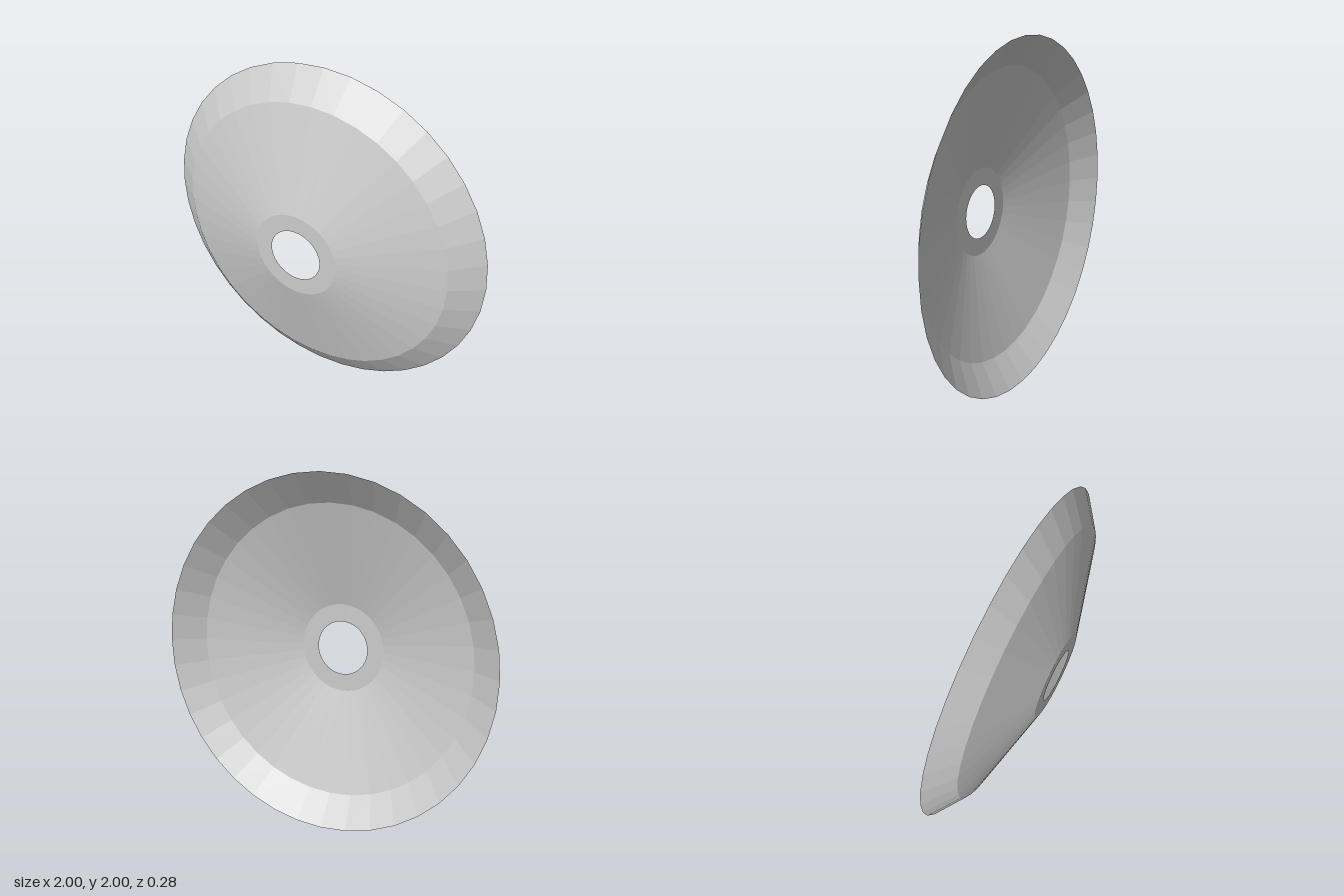
import * as THREE from 'three';

const SEGMENTS = 40;

// Profile of the thin shell, from outer rim to centre hole: [radius, depth]
const PROFILE = [
  [1.0, -0.14],   // outer rim
  [0.833, -0.02], // crease between rim bevel and cone
  [0.255, 0.14],  // edge of the flat hub
  [0.155, 0.14],  // centre hole
];

export function createModel() {
  const group = new THREE.Group();
  group.name = 'dishedDisc';

  const material = new THREE.MeshStandardMaterial({
    color: 0xcccccc,
    flatShading: true,
    side: THREE.DoubleSide,
  });

  // Each band of the shell is its own ring, spun about the z axis
  const names = ['rimBevel', 'shallowCone', 'hubRing'];
  names.forEach((name, i) => {
    const points = PROFILE.slice(i, i + 2).map(([r, d]) => new THREE.Vector2(r, d));
    const geometry = new THREE.LatheGeometry(points, SEGMENTS);
    geometry.rotateX(Math.PI / 2); // lathe axis to +z
    geometry.translate(0, 1, 0);
    const mesh = new THREE.Mesh(geometry, material);
    mesh.name = name;
    group.add(mesh);
  });

  return group;
}
